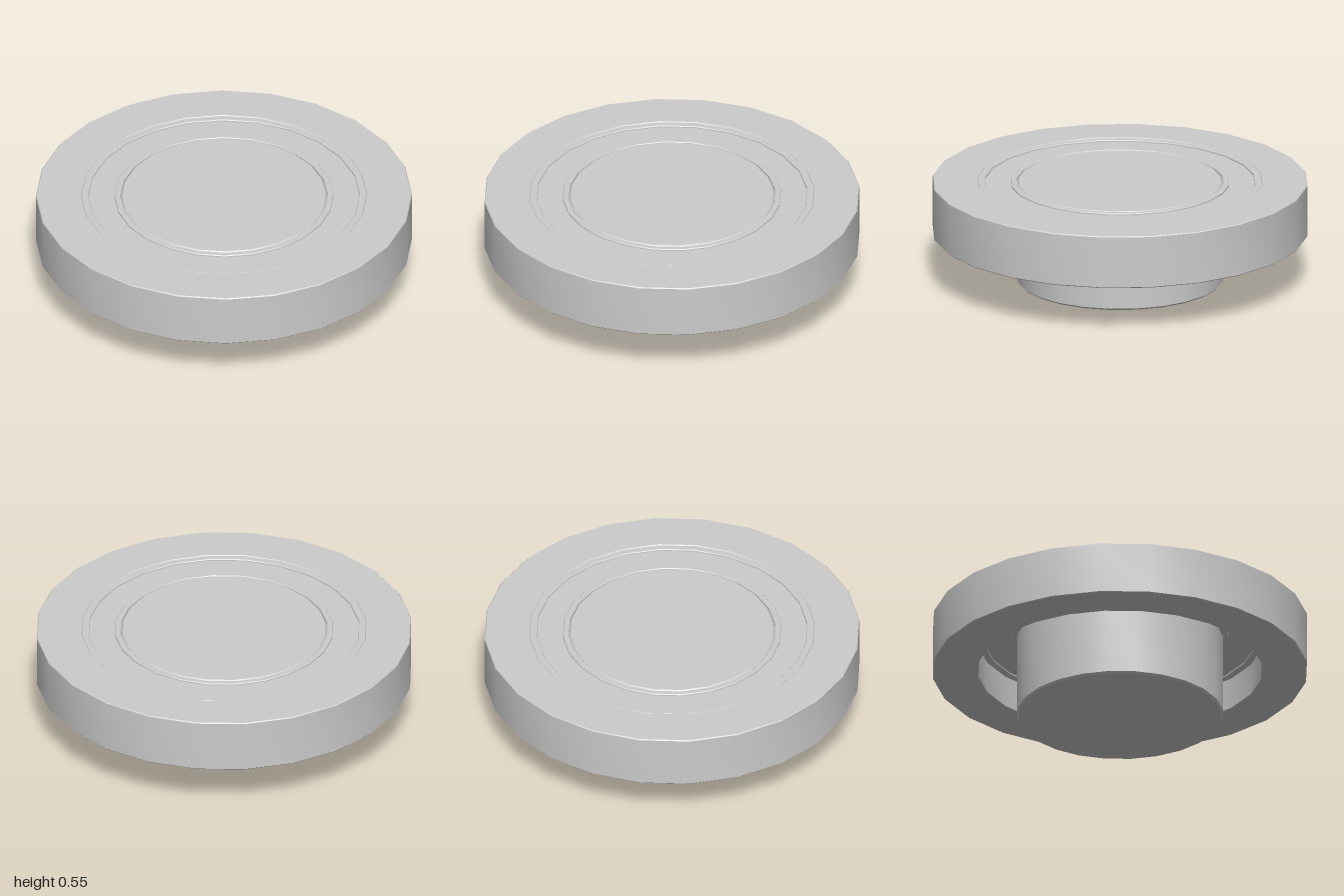
import * as THREE from 'three';
import { toCreasedNormals } from 'three/addons/utils/BufferGeometryUtils.js';

const SIDES = 24;
const material = new THREE.MeshStandardMaterial({ color: 0xcccccc });

// Revolve a profile of [radius, height] pairs, keeping its corners sharp
function turned(name, profile) {
  const points = profile.map(([r, y]) => new THREE.Vector2(r, y));
  const lathe = new THREE.LatheGeometry(points, SIDES);
  const mesh = new THREE.Mesh(toCreasedNormals(lathe, Math.PI / 6), material);
  mesh.name = name;
  return mesh;
}

// Closed ring with a small chamfer c on its four edges
function ring(name, inner, outer, bottom, top, c) {
  return turned(name, [
    [inner + c, bottom], [outer - c, bottom],
    [outer, bottom + c], [outer, top - c],
    [outer - c, top], [inner + c, top],
    [inner, top - c], [inner, bottom + c],
    [inner + c, bottom],
  ]);
}

export function createModel() {
  const group = new THREE.Group();
  group.name = 'bearingWheel';

  // Solid shaft with chamfered ends
  group.add(turned('shaft', [
    [0, 0], [0.54, 0], [0.55, 0.01], [0.55, 0.54], [0.54, 0.55], [0, 0.55],
  ]));

  // Heavy outer rim
  group.add(ring('outerRim', 0.757, 1, 0.265, 0.553, 0.005));

  // Bearing: two races with a slightly recessed shield between them
  group.add(ring('innerRace', 0.55, 0.583, 0.44, 0.55, 0.004));
  group.add(ring('shield', 0.58, 0.725, 0.45, 0.54, 0));
  group.add(ring('outerRace', 0.72, 0.76, 0.44, 0.55, 0.004));

  return group;
}
